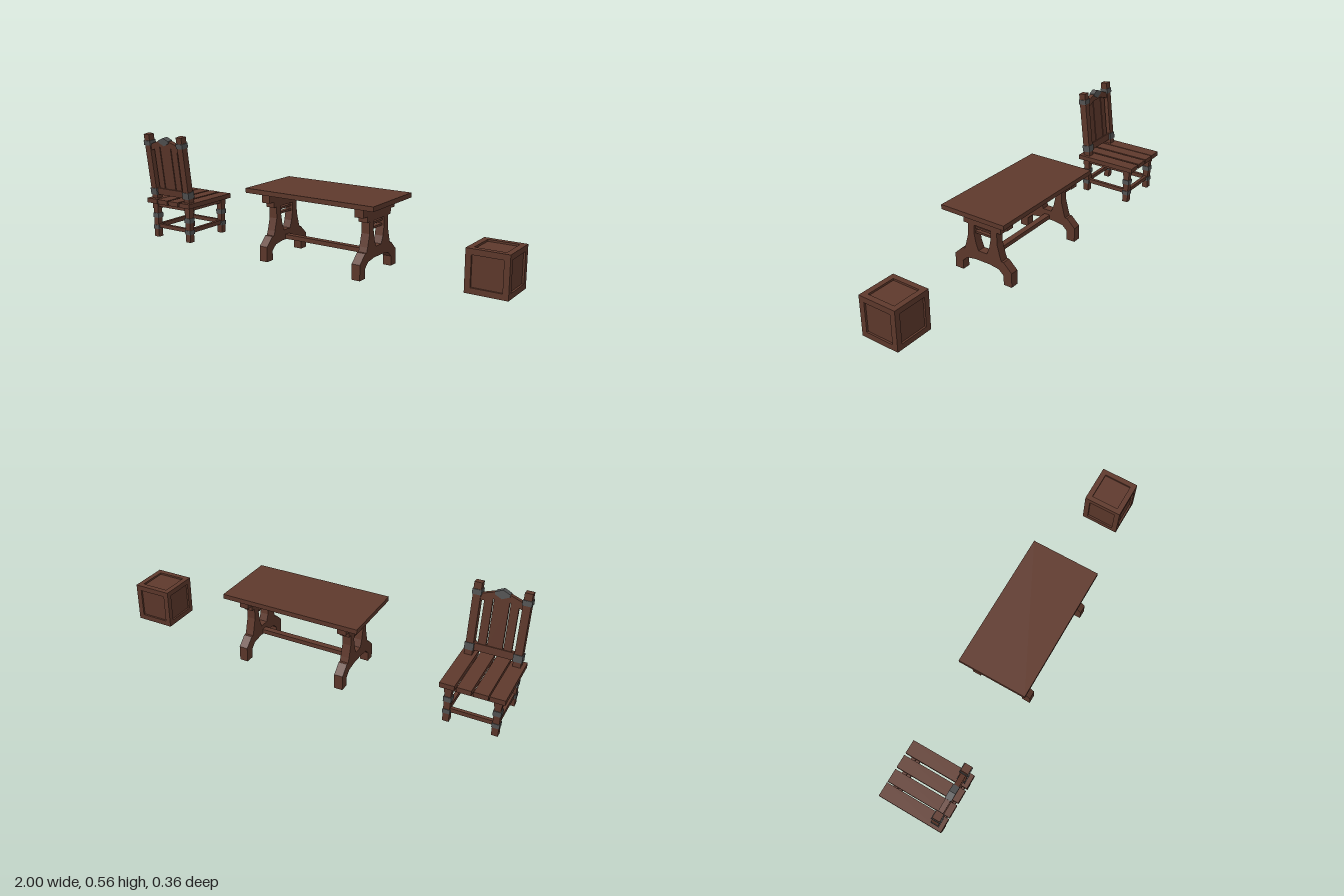
import * as THREE from 'three';

const wood = new THREE.MeshStandardMaterial({ color: 0x5f392c });
wood.name = 'brown wood';
const iron = new THREE.MeshStandardMaterial({ color: 0x555555 });
iron.name = 'grey iron';

// Box given by its size and centre
function box(parent, name, size, pos, mat = wood) {
  const m = new THREE.Mesh(new THREE.BoxGeometry(...size), mat);
  m.name = name;
  m.position.set(...pos);
  parent.add(m);
  return m;
}

// Outline extruded symmetrically about its own plane
function plate(parent, name, points, depth, mat = wood, hole = null) {
  const toV = p => new THREE.Vector2(p[0], p[1]);
  const shape = new THREE.Shape(points.map(toV));
  if (hole) shape.holes.push(new THREE.Path(hole.map(toV)));
  const g = new THREE.ExtrudeGeometry(shape, { depth, bevelEnabled: false });
  g.translate(0, 0, -depth / 2);
  const m = new THREE.Mesh(g, mat);
  m.name = name;
  parent.add(m);
  return m;
}

// Completes a half outline by mirroring it across x = 0
const mirrored = half => [...half, ...half.slice().reverse().map(([x, y]) => [-x, y])];

function makeTable() {
  const table = new THREE.Group();
  table.name = 'table';
  box(table, 'tableTop', [0.705, 0.023, 0.351], [0, 0.3415, 0]);
  box(table, 'centreBeam', [0.48, 0.034, 0.04], [0, 0.314, 0]);
  box(table, 'stretcher', [0.48, 0.022, 0.03], [0, 0.094, 0]);

  // Splayed trestle outline with an opening between its two columns
  const outline = mirrored([
    [0.119, 0], [0.1645, 0], [0.1645, 0.074], [0.119, 0.117], [0.107, 0.117],
    [0.099, 0.14], [0.083, 0.2], [0.083, 0.258],
  ].reverse().concat([[0.119, 0.047], [0.092, 0.072], [0.04, 0.08]]));
  const opening = mirrored([[0.024, 0.13], [0.038, 0.165], [0.047, 0.21], [0.047, 0.256]]);

  for (const side of [-1, 1]) {
    const trestle = new THREE.Group();
    trestle.name = side < 0 ? 'rightTrestle' : 'leftTrestle';
    trestle.position.x = side * 0.26;
    trestle.rotation.y = Math.PI / 2;
    table.add(trestle);
    plate(trestle, 'trestleLegs', outline, 0.043, wood, opening);
    box(trestle, 'upperBeam', [0.282, 0.046, 0.045], [0, 0.307, 0]);
    box(trestle, 'lowerBeam', [0.213, 0.027, 0.045], [0, 0.2705, 0]);
    for (const y of [0.241, 0.218]) box(trestle, 'crossSlat', [0.1, 0.01, 0.024], [0, y, 0]);
  }
  return table;
}

function makeCrate() {
  const crate = new THREE.Group();
  crate.name = 'crate';
  const s = 0.198, w = 0.027, o = (s - w) / 2;
  // Core forms the sunken panels; twelve rails frame it
  box(crate, 'crateCore', [s - 0.018, s - 0.018, s - 0.018], [0, 0, 0]);
  const inner = s - 2 * w;
  for (const a of [-o, o]) for (const b of [-o, o]) {
    box(crate, 'uprightRail', [w, s, w], [a, 0, b]);
    box(crate, 'crossRail', [inner, w, w], [0, a, b]);
    box(crate, 'sideRail', [w, w, inner], [a, b, 0]);
  }
  return crate;
}

function makeChair() {
  const chair = new THREE.Group();
  chair.name = 'chair';
  const legX = 0.112, frontZ = -0.141, backZ = 0.109, midZ = (frontZ + backZ) / 2;

  // Seat planks
  for (const [x, w] of [[-0.1125, 0.069], [-0.04, 0.065], [0.035, 0.065], [0.1125, 0.069]])
    box(chair, 'seatPlank', [w, 0.024, 0.33], [x, 0.1995, -0.017]);

  // Legs with iron bands, rails and rungs
  for (const x of [-legX, legX]) {
    for (const z of [frontZ, backZ]) {
      box(chair, 'legBlock', [0.036, 0.034, 0.036], [x, 0.171, z]);
      box(chair, 'leg', [0.03, 0.156, 0.03], [x, 0.078, z]);
      box(chair, 'upperLegBand', [0.037, 0.025, 0.037], [x, 0.117, z], iron);
      box(chair, 'lowerLegBand', [0.035, 0.022, 0.035], [x, 0.053, z], iron);
    }
    box(chair, 'sideSeatRail', [0.022, 0.022, 0.24], [x, 0.177, midZ]);
    box(chair, 'sideRung', [0.018, 0.022, 0.24], [x, 0.058, midZ]);
  }
  for (const z of [frontZ, backZ]) {
    box(chair, 'crossSeatRail', [0.2, 0.022, 0.022], [0, 0.177, z]);
    box(chair, 'crossRung', [0.2, 0.02, 0.018], [0, 0.06, z]);
  }

  // Leaning back rest
  const back = new THREE.Group();
  back.name = 'backRest';
  back.position.set(0, 0.21, 0.107);
  back.rotation.x = Math.atan(0.13);
  chair.add(back);
  for (const x of [-legX, legX]) {
    box(back, 'backPost', [0.036, 0.365, 0.036], [x, 0.168, 0]);
    box(back, 'lowerPostBand', [0.043, 0.035, 0.043], [x, 0.041, 0], iron);
    box(back, 'upperPostBand', [0.043, 0.025, 0.043], [x, 0.305, 0], iron);
  }
  box(back, 'lowerBackRail', [0.19, 0.036, 0.024], [0, 0.042, 0]);
  for (const [x, w] of [[-0.059, 0.038], [0, 0.07], [0.059, 0.038]])
    box(back, 'backSlat', [w, 0.245, 0.013], [x, 0.175, 0]);
  plate(back, 'crestRail',
    [[-0.095, 0.266], [-0.035, 0.288], [0.035, 0.288], [0.095, 0.266],
      [0.095, 0.3], [0.035, 0.321], [0, 0.335], [-0.035, 0.321], [-0.095, 0.3]], 0.024);
  plate(back, 'crestCap',
    [[-0.034, 0.312], [0, 0.296], [0.034, 0.312], [0.034, 0.324], [0, 0.339], [-0.034, 0.324]],
    0.031, iron);
  return chair;
}

export function createModel() {
  const model = new THREE.Group();
  model.name = 'furnitureSet';
  const chair = makeChair();
  chair.position.x = -0.853;
  const table = makeTable();
  table.position.set(0.048, 0, 0.005);
  const crate = makeCrate();
  crate.position.set(0.901, 0.119, 0.005);
  model.add(chair, table, crate);
  return model;
}
